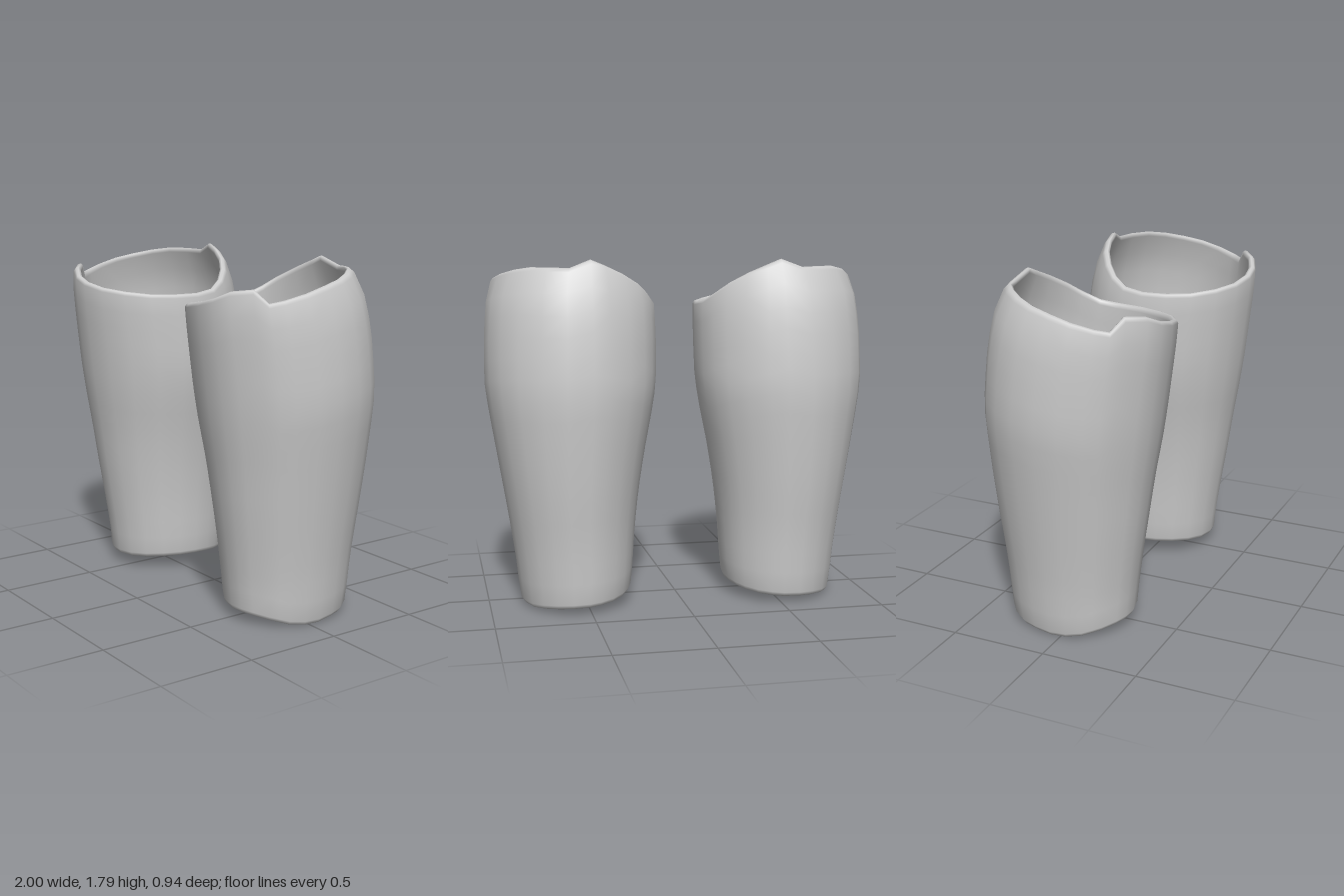
import * as THREE from 'three';

// Outline by height: [y, inner x, outer x, back z, front z]
const LEVELS = [
  [0.00, 0.275, 0.825, -0.360, 0.262],
  [0.07, 0.258, 0.842, -0.380, 0.277],
  [0.20, 0.245, 0.852, -0.388, 0.288],
  [0.40, 0.232, 0.880, -0.405, 0.315],
  [0.60, 0.210, 0.912, -0.430, 0.345],
  [0.80, 0.178, 0.945, -0.450, 0.372],
  [1.00, 0.138, 0.978, -0.467, 0.405],
  [1.15, 0.113, 1.000, -0.477, 0.425],
  [1.40, 0.108, 0.996, -0.455, 0.455],
  [1.55, 0.112, 0.985, -0.430, 0.472],
  [1.65, 0.128, 0.968, -0.402, 0.475],
  [1.72, 0.150, 0.935, -0.370, 0.460],
  [1.80, 0.180, 0.885, -0.330, 0.435],
];

// Columns round the sleeve: [degrees from the outer side towards the front, top y, bottom y]
const COLUMNS = [
  [0, 1.70, 0.005], [15, 1.672, 0.005], [30, 1.645, 0.015], [40, 1.63, 0.03],
  [49, 1.692, 0.04], [65, 1.68, 0.055], [78, 1.645, 0.06], [92, 1.62, 0.062],
  [110, 1.597, 0.065], [128, 1.582, 0.07], [146, 1.57, 0.075], [163, 1.567, 0.076],
  [180, 1.568, 0.075], [195, 1.582, 0.07], [208, 1.625, 0.062], [220, 1.675, 0.055],
  [235, 1.725, 0.047], [250, 1.765, 0.042], [262, 1.793, 0.038], [279, 1.752, 0.035],
  [295, 1.755, 0.03], [312, 1.755, 0.022], [328, 1.742, 0.014], [344, 1.722, 0.014],
];

function outlineAt(y) {
  let i = 0;
  while (i < LEVELS.length - 2 && y > LEVELS[i + 1][0]) i++;
  const a = LEVELS[i], b = LEVELS[i + 1];
  const t = THREE.MathUtils.clamp((y - a[0]) / (b[0] - a[0]), 0, 1);
  return a.map((v, k) => THREE.MathUtils.lerp(v, b[k], t));
}

// Closed section of the wall: [fraction of height, y offset, inset]
function wallSection() {
  const section = [];
  const rows = 16;
  const wall = 0.04;
  section.push([0, 0.005, 0.008]);
  for (let i = 0; i <= rows; i++) section.push([i / rows, 0.025 - 0.045 * i / rows, 0]);
  section.push([1, -0.005, 0.007], [1, 0, 0.02], [1, -0.006, 0.033]);
  for (let i = rows; i >= 0; i--) section.push([i / rows, 0.025 - 0.05 * i / rows, wall]);
  section.push([0, 0.005, 0.032], [0, 0, 0.02]);
  return section;
}

function sleeveGeometry(side) {
  const section = wallSection();
  const n = section.length, m = COLUMNS.length;
  const positions = [], index = [];
  for (const [degrees, top, bottom] of COLUMNS) {
    const angle = THREE.MathUtils.degToRad(degrees);
    const c = Math.cos(angle), s = Math.sin(angle);
    for (const [t, dy, inset] of section) {
      const y = THREE.MathUtils.lerp(bottom, top, t) + dy;
      const [, x0, x1, z0, z1] = outlineAt(y);
      const x = (x0 + x1) / 2 + ((x1 - x0) / 2 - inset) * c;
      const z = (z0 + z1) / 2 + ((z1 - z0) / 2 - inset) * s;
      positions.push(side * x, y, z);
    }
  }
  for (let i = 0; i < m; i++) {
    for (let j = 0; j < n; j++) {
      const i2 = (i + 1) % m, j2 = (j + 1) % n;
      const a = i * n + j, b = i * n + j2, c = i2 * n + j2, d = i2 * n + j;
      // The mirrored sleeve needs its corners reversed
      if (side > 0) index.push(a, b, d, b, c, d);
      else index.push(a, d, b, b, d, c);
    }
  }
  const geometry = new THREE.BufferGeometry();
  geometry.setAttribute('position', new THREE.Float32BufferAttribute(positions, 3));
  geometry.setIndex(index);
  geometry.computeVertexNormals();
  return geometry;
}

export function createModel() {
  const group = new THREE.Group();
  group.name = 'shinSleeves';
  const grey = new THREE.MeshStandardMaterial({ color: 0xcccccc });
  grey.name = 'light grey';
  for (const [name, side] of [['leftSleeve', 1], ['rightSleeve', -1]]) {
    const sleeve = new THREE.Mesh(sleeveGeometry(side), grey);
    sleeve.name = name;
    group.add(sleeve);
  }
  return group;
}
